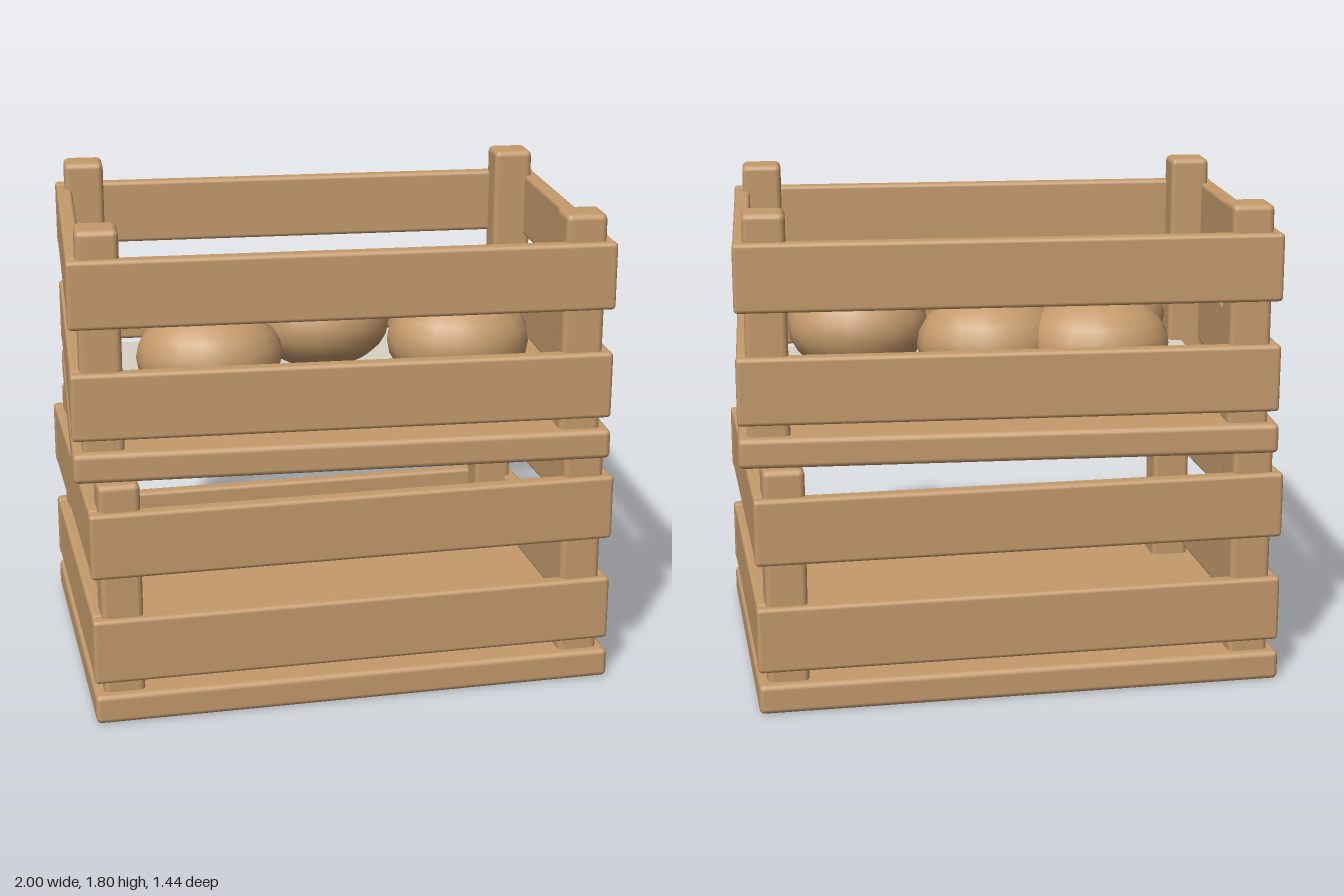
import * as THREE from 'three';
import { RoundedBoxGeometry } from 'three/addons/geometries/RoundedBoxGeometry.js';

const wood = new THREE.MeshStandardMaterial({ color: 0xc49a6c });
wood.name = 'wood';
const lining = new THREE.MeshStandardMaterial({ color: 0xd8d2c4 });
lining.name = 'pale lining';

function board(parent, name, size, pos, radius = 0.015) {
  const mesh = new THREE.Mesh(new RoundedBoxGeometry(...size, 2, radius), wood);
  mesh.name = name;
  mesh.position.set(...pos);
  parent.add(mesh);
}

// One slatted crate: base board, four corner posts, two rows of slats
function crate(name, y, turn) {
  const g = new THREE.Group();
  g.name = name;
  g.position.y = y;
  g.rotation.y = turn;
  board(g, 'baseBoard', [1.934, 0.11, 1.344], [0, 0.057, 0], 0.02);
  for (const sx of [-1, 1]) {
    for (const sz of [-1, 1]) {
      board(g, 'cornerPost', [0.15, 0.84, 0.15], [sx * 0.857, 0.482, sz * 0.563], 0.022);
    }
  }
  for (const h of [0.277, 0.68]) {
    for (const s of [-1, 1]) {
      board(g, s > 0 ? 'frontSlat' : 'backSlat', [1.934, 0.245, 0.06], [0, h, s * 0.63]);
      board(g, s > 0 ? 'leftSlat' : 'rightSlat', [0.06, 0.245, 1.21], [s * 0.935, h, 0]);
    }
  }
  return g;
}

export function createModel() {
  const model = new THREE.Group();
  model.name = 'stackedCrates';
  model.add(crate('lowerCrate', 0, 0.02));

  const upper = crate('upperCrate', 0.9, -0.05);
  model.add(upper);

  // Pale liner sheet above the upper base
  const liner = new THREE.Mesh(new THREE.BoxGeometry(1.67, 0.02, 1.09), lining);
  liner.name = 'liner';
  liner.position.y = 0.148;
  upper.add(liner);

  // Flattened round loaves lying on the liner
  const loafGeometry = new THREE.SphereGeometry(1, 18, 12);
  for (const [x, z] of [[-0.364, -0.262], [0.031, -0.187], [-0.444, 0.243], [0.504, 0.15]]) {
    const loaf = new THREE.Mesh(loafGeometry, wood);
    loaf.name = 'loaf';
    loaf.scale.set(0.27, 0.19, 0.235);
    loaf.position.set(x, 0.33, z);
    upper.add(loaf);
  }
  return model;
}
